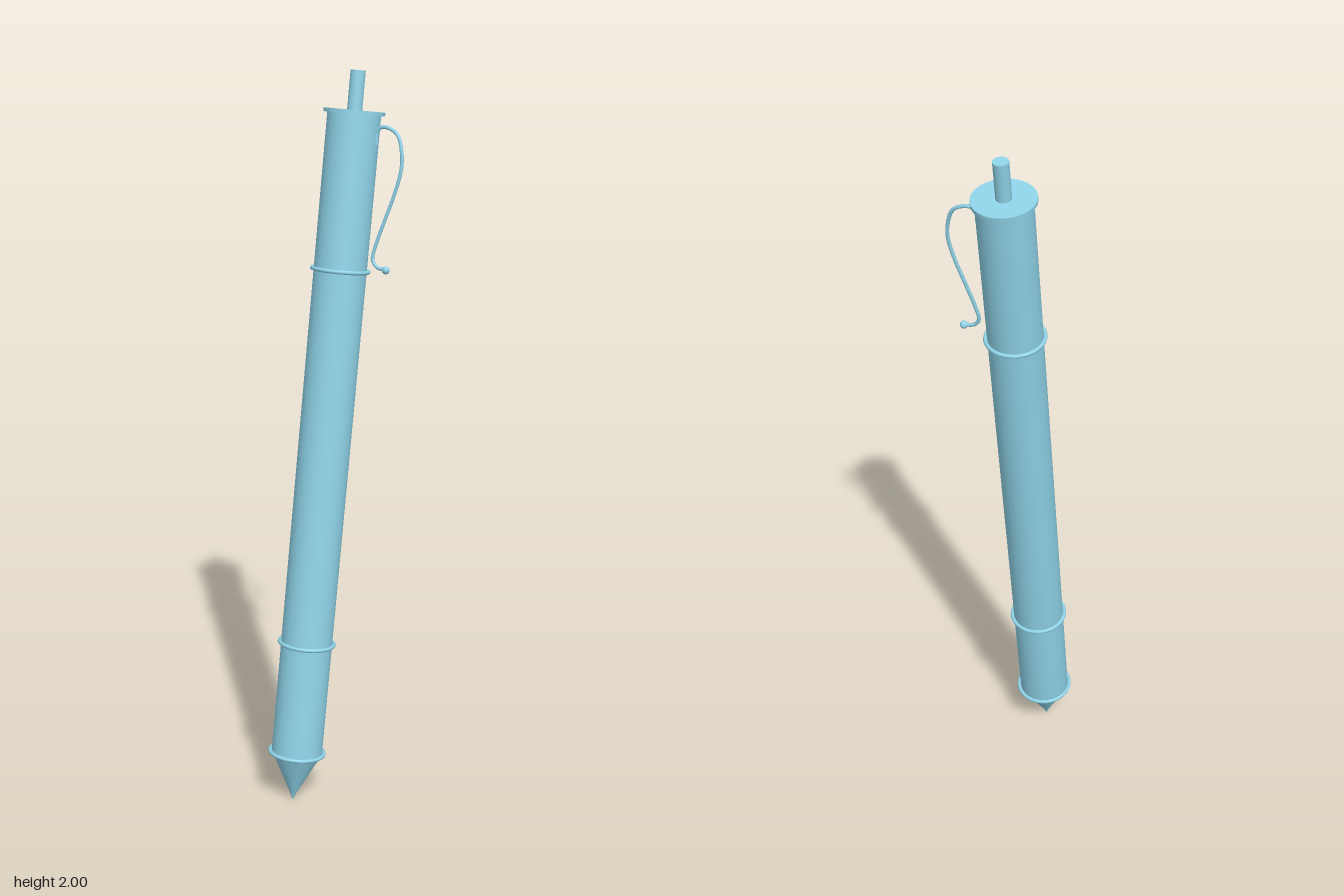
import * as THREE from 'three';

const material = new THREE.MeshStandardMaterial({ color: 0x8fd3e8 });

function part(parent, name, geometry, y = 0) {
  const mesh = new THREE.Mesh(geometry, material);
  mesh.name = name;
  mesh.position.y = y;
  parent.add(mesh);
  return mesh;
}

// Upright round section between two heights
function section(parent, name, bottomRadius, topRadius, y0, y1) {
  const geometry = new THREE.CylinderGeometry(topRadius, bottomRadius, y1 - y0, 24);
  return part(parent, name, geometry, (y0 + y1) / 2);
}

export function createModel() {
  const model = new THREE.Group();
  model.name = 'pen';

  // The pen is built upright from its point, then leaned back
  const pen = new THREE.Group();
  pen.name = 'leaningPen';
  model.add(pen);

  // Writing point, barrel and push button
  section(pen, 'ballPoint', 0.002, 0.01, 0, 0.02);
  section(pen, 'cone', 0.01, 0.071, 0.02, 0.14);
  section(pen, 'grip', 0.071, 0.071, 0.14, 0.46);
  section(pen, 'barrel', 0.071, 0.071, 0.46, 1.495);
  section(pen, 'upperBarrel', 0.071, 0.071, 1.495, 1.907);
  section(pen, 'topCap', 0.081, 0.081, 1.903, 1.913);
  section(pen, 'pushButton', 0.02, 0.02, 1.913, 2.015);

  // Trim rings around the barrel
  for (const y of [0.14, 0.46, 1.495]) {
    const ring = part(pen, 'trimRing', new THREE.TorusGeometry(0.0755, 0.0055, 10, 32), y);
    ring.rotation.x = Math.PI / 2;
  }

  // Bent wire clip with a bead at its free end
  const clip = new THREE.Group();
  clip.name = 'clip';
  clip.rotation.y = 0.2;
  pen.add(clip);
  const path = new THREE.CatmullRomCurve3([
    [0.072, 1.83], [0.073, 1.862], [0.082, 1.875], [0.105, 1.875], [0.132, 1.86],
    [0.149, 1.815], [0.152, 1.772], [0.14, 1.711], [0.119, 1.641], [0.099, 1.572],
    [0.093, 1.535], [0.106, 1.516], [0.135, 1.51],
  ].map(([x, y]) => new THREE.Vector3(x, y, 0)));
  part(clip, 'clipWire', new THREE.TubeGeometry(path, 72, 0.005, 8));
  const bead = part(clip, 'clipBead', new THREE.SphereGeometry(0.0105, 16, 12), 1.51);
  bead.position.x = 0.135;

  // Lean towards the back and slightly to one side
  const axis = new THREE.Vector3(-0.01, 1, -0.1487).normalize();
  pen.quaternion.setFromUnitVectors(new THREE.Vector3(0, 1, 0), axis);
  pen.position.set(-0.019, 0.008, 0.152);
  return model;
}
